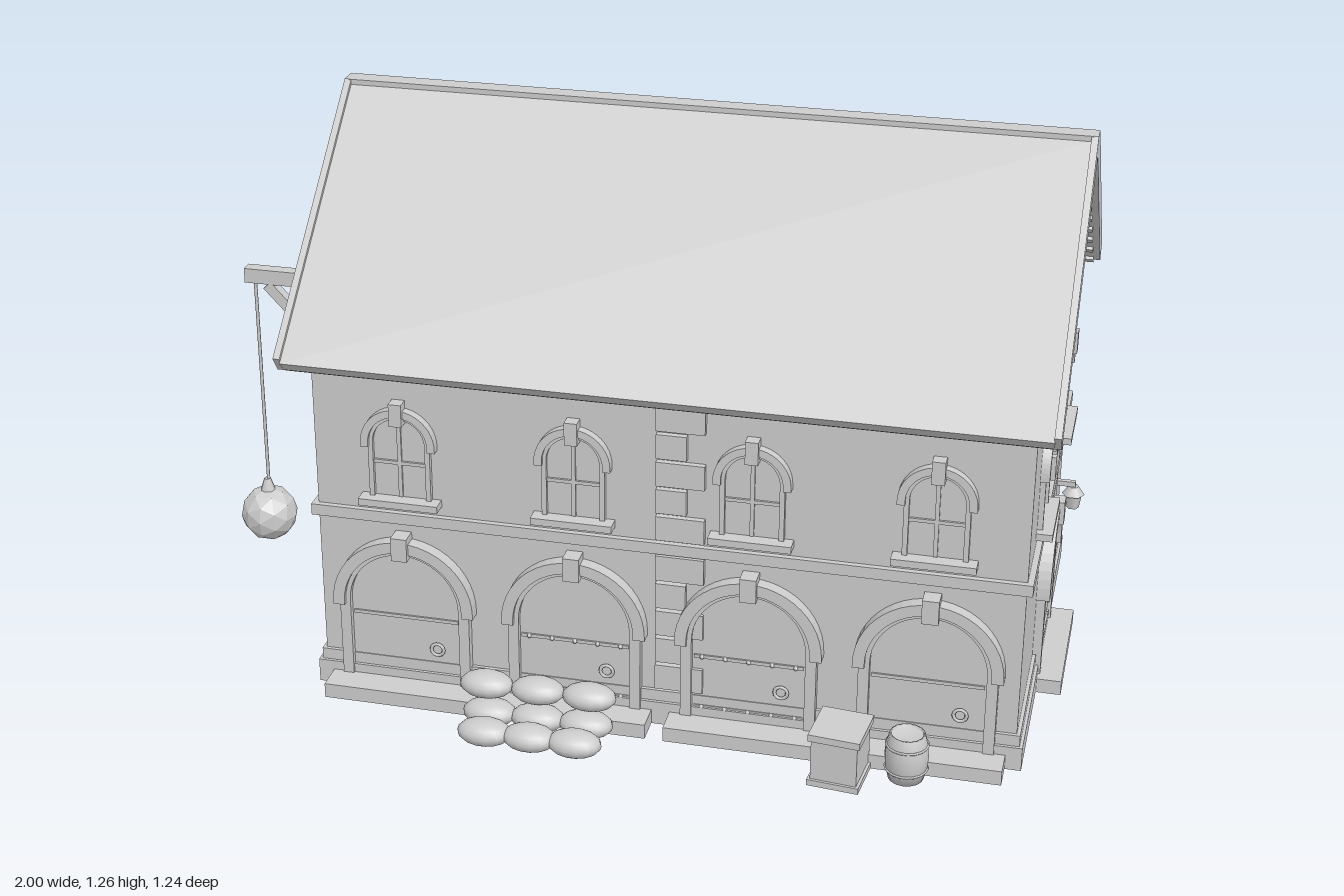
import * as THREE from 'three';

const stone = new THREE.MeshStandardMaterial({ color: 0xcccccc });
stone.name = 'plain grey';

function add(parent, name, geometry, x = 0, y = 0, z = 0) {
  const m = new THREE.Mesh(geometry, stone);
  m.name = name;
  m.position.set(x, y, z);
  parent.add(m);
  return m;
}
const box = (p, name, w, h, d, x, y, z) => add(p, name, new THREE.BoxGeometry(w, h, d), x, y, z);
const group = (p, name, x = 0, y = 0, z = 0) => {
  const g = new THREE.Group();
  g.name = name;
  g.position.set(x, y, z);
  p.add(g);
  return g;
};
const extrude = (shape, depth) =>
  new THREE.ExtrudeGeometry(shape, { depth, bevelEnabled: false, curveSegments: 12 });

// Round-headed panel, or a round-headed frame when an inner radius is given
function arch(R, y0, spring, depth, r = 0) {
  const s = new THREE.Shape();
  s.moveTo(-R, y0);
  s.lineTo(-R, spring);
  s.absarc(0, spring, R, Math.PI, 0, true);
  s.lineTo(R, y0);
  if (r) {
    s.lineTo(r, y0);
    s.lineTo(r, spring);
    s.absarc(0, spring, r, 0, Math.PI, false);
    s.lineTo(-r, y0);
  }
  return extrude(s, depth);
}

// Profile in (z offset from ridge, y), extruded along x
function along(points, x0, x1) {
  const s = new THREE.Shape(points.map(([u, y]) => new THREE.Vector2(u + 0.08, y)));
  return extrude(s, x1 - x0).rotateY(Math.PI / 2).translate(x0, 0, 0);
}

function arcWindow(wall, x, sill) {
  const w = group(wall, 'window', x, sill, 0);
  add(w, 'glass', arch(0.06, 0.01, 0.145, 0.003));
  add(w, 'windowFrame', arch(0.069, 0.01, 0.145, 0.012, 0.058));
  add(w, 'hood', arch(0.083, 0.135, 0.145, 0.02, 0.066));
  box(w, 'keystone', 0.028, 0.052, 0.028, 0, 0.219, 0.014);
  box(w, 'windowSill', 0.178, 0.016, 0.035, 0, 0.008, 0.0175);
  box(w, 'mullion', 0.009, 0.185, 0.008, 0, 0.11, 0.004);
  box(w, 'transom', 0.116, 0.008, 0.008, 0, 0.098, 0.004);
}

function arcDoor(wall, x, R, spring, stepDepth, studded) {
  const d = group(wall, 'door', x, 0, 0);
  add(d, 'doorPanel', arch(R - 0.03, 0.03, spring, 0.006));
  add(d, 'doorFrame', arch(R - 0.012, 0.03, spring, 0.02, R - 0.036));
  add(d, 'doorHood', arch(R, spring - 0.01, spring, 0.03, R - 0.026));
  box(d, 'doorKeystone', 0.036, 0.055, 0.04, 0, spring + R - 0.012, 0.02);
  box(d, 'doorStep', R * 2 + 0.025, 0.034, stepDepth, 0, 0.017, stepDepth / 2);
  for (const y of studded ? [0.055, 0.18] : [0.188]) {
    box(d, 'hingeStrap', R * 1.5, 0.008, 0.008, 0, y, 0.006);
    if (studded) for (let i = -2; i <= 2; i++)
      add(d, 'stud', new THREE.SphereGeometry(0.005, 6, 4), i * R * 0.32, y, 0.011);
  }
  add(d, 'doorRing', new THREE.TorusGeometry(0.014, 0.004, 6, 14), 0.072, 0.117, 0.014);
}

// Alternating long and short blocks between two heights
function quoins(wall, y0, y1) {
  const n = Math.round((y1 - y0) / 0.064), pitch = (y1 - y0) / n;
  for (let i = 0; i < n; i++) {
    const w = (n - 1 - i) % 2 ? 0.066 : 0.105;
    box(wall, 'quoinBlock', w, pitch - 0.008, 0.014, -0.013 + w / 2, y0 + (i + 0.5) * pitch, 0.007);
  }
}

// Wall-fixed frames: x runs along the wall, z points outwards
function makeWall(root, name, x, z, turn) {
  const w = group(root, name, x, 0, z);
  w.rotation.y = turn;
  quoins(w, 0.085, 0.42);
  quoins(w, 0.45, 0.77);
  return w;
}

function buildHoist(root) {
  const h = group(root, 'hoist', 0, 0, -0.08);
  box(h, 'hoistPost', 0.065, 0.36, 0.07, -0.652, 0.6, 0);
  box(h, 'hoistBeam', 0.335, 0.035, 0.03, -0.785, 0.763, 0);
  const brace = box(h, 'hoistBrace', 0.32, 0.025, 0.025, -0.79, 0.625, 0);
  brace.rotation.z = -0.82;
  // Spoked wheel
  const wheel = group(h, 'hoistWheel', -0.718, 0.575, 0);
  wheel.rotation.y = Math.PI / 2;
  add(wheel, 'wheelRim', new THREE.TorusGeometry(0.077, 0.007, 6, 24));
  for (let i = 0; i < 3; i++)
    box(wheel, 'wheelSpoke', 0.15, 0.009, 0.008, 0, 0, 0).rotation.z = i * Math.PI / 3;
  add(wheel, 'wheelAxle', new THREE.CylinderGeometry(0.013, 0.013, 0.06, 10).rotateX(Math.PI / 2));
  // Rope and its load
  add(h, 'rope', new THREE.CylinderGeometry(0.004, 0.004, 0.535, 6), -0.932, 0.48, 0);
  add(h, 'loadKnot', new THREE.CylinderGeometry(0.008, 0.018, 0.03, 8), -0.935, 0.217, 0);
  const load = new THREE.IcosahedronGeometry(0.068, 1);
  load.computeVertexNormals();
  add(h, 'hangingLoad', load, -0.935, 0.14, 0);
}

function buildGoods(root) {
  // Sacks: a double-height row at the back and a single row in front
  const sack = new THREE.SphereGeometry(1, 14, 10).scale(0.06, 0.029, 0.041);
  for (let i = 0; i < 3; i++) {
    add(root, 'sack', sack, -0.21 + i * 0.108, 0.035, 0.5);
    add(root, 'sack', sack, -0.22 + i * 0.115, 0.095, 0.485);
    add(root, 'sack', sack, -0.2 + i * 0.1, 0.033, 0.577);
  }
  // Crate
  const crate = group(root, 'crate', 0.563, 0, 0.516);
  crate.rotation.y = -0.1;
  box(crate, 'crateBody', 0.1, 0.11, 0.108, 0, 0.055, 0);
  box(crate, 'crateLid', 0.112, 0.016, 0.12, 0, 0.117, 0);
  box(crate, 'crateFoot', 0.112, 0.014, 0.12, 0, 0.008, 0);
  // Barrel with hoops
  const barrel = group(root, 'barrel', 0.7, 0, 0.488);
  const staves = [[0, 0], [0.038, 0], [0.045, 0.03], [0.047, 0.055], [0.045, 0.08], [0.038, 0.108],
    [0.034, 0.108], [0.034, 0.1], [0, 0.1]];
  add(barrel, 'barrelStaves', new THREE.LatheGeometry(staves.map(p => new THREE.Vector2(...p)), 16));
  for (const y of [0.025, 0.083])
    add(barrel, 'barrelHoop', new THREE.TorusGeometry(0.0445, 0.003, 5, 18).rotateX(Math.PI / 2), 0, y, 0);
}

export function createModel() {
  const root = new THREE.Group();
  root.name = 'warehouse';

  // Walls, plinth and belt course
  add(root, 'walls', along([[-0.475, 0], [0.475, 0], [0.475, 0.795], [0, 1.208], [-0.475, 0.795]], -0.62, 0.92));
  box(root, 'plinth', 1.57, 0.055, 0.98, 0.15, 0.0275, -0.08);
  box(root, 'plinthTop', 1.556, 0.026, 0.966, 0.15, 0.068, -0.08);
  box(root, 'beltCourse', 1.566, 0.026, 0.976, 0.15, 0.433, -0.08);
  for (const x of [-0.625, 0.92])
    add(root, 'gablePanel', along([[-0.43, 0.838], [0.43, 0.838], [0, 1.21]], x, x + 0.005));

  // Roof, ridge and raised edge boards
  const chevron = (drop) => [[-0.54, 0.81 - drop], [-0.02, 1.262 - drop], [0.02, 1.262 - drop],
    [0.54, 0.81 - drop], [0.515, 0.775], [0, 1.213], [-0.515, 0.775]];
  add(root, 'roof', along(chevron(0.01), -0.666, 0.956));
  for (const x of [-0.68, 0.955]) add(root, 'bargeBoard', along(chevron(0), x, x + 0.015));
  box(root, 'ridgeBoard', 1.63, 0.03, 0.044, 0.145, 1.247, -0.08);
  for (const side of [-1, 1]) for (let i = 0; i < 9; i++) {
    const u = 0.505 - i * 0.053;
    box(root, 'batten', 1.62, 0.012, 0.018, 0.145, 1.211 - u * 0.851, -0.08 + side * u)
      .rotation.x = side * 0.705;
  }

  // Openings on each side
  const front = makeWall(root, 'frontWall', 0.15, 0.395, 0);
  const back = makeWall(root, 'backWall', 0.15, -0.555, Math.PI);
  const left = makeWall(root, 'leftWall', 0.92, -0.08, Math.PI / 2);
  const right = makeWall(root, 'rightWall', -0.62, -0.08, -Math.PI / 2);
  [-0.5775, -0.1925, 0.1925, 0.5775].forEach((x, i) => {
    arcWindow(front, x, 0.468);
    arcWindow(back, x, 0.468);
    arcWindow(back, x, 0.11);
    arcDoor(front, x, 0.16, 0.222, 0.08, i === 1 || i === 2);
  });
  for (const wall of [left, right]) {
    for (const x of [-0.237, 0.237]) arcWindow(wall, x, 0.466);
    arcWindow(wall, 0, 0.904);
  }
  arcDoor(left, 0, 0.152, 0.236, 0.07, true);

  // Lantern beside the side door
  const lamp = group(left, 'lantern', 0.193, 0, 0);
  box(lamp, 'lanternBracket', 0.012, 0.012, 0.05, 0, 0.348, 0.025);
  box(lamp, 'lanternPlate', 0.025, 0.05, 0.008, 0, 0.345, 0.004);
  add(lamp, 'lanternCap', new THREE.CylinderGeometry(0.012, 0.026, 0.02, 6), 0, 0.332, 0.046);
  add(lamp, 'lanternBody', new THREE.CylinderGeometry(0.02, 0.015, 0.035, 6), 0, 0.306, 0.046);

  buildHoist(root);
  buildGoods(root);
  return root;
}
